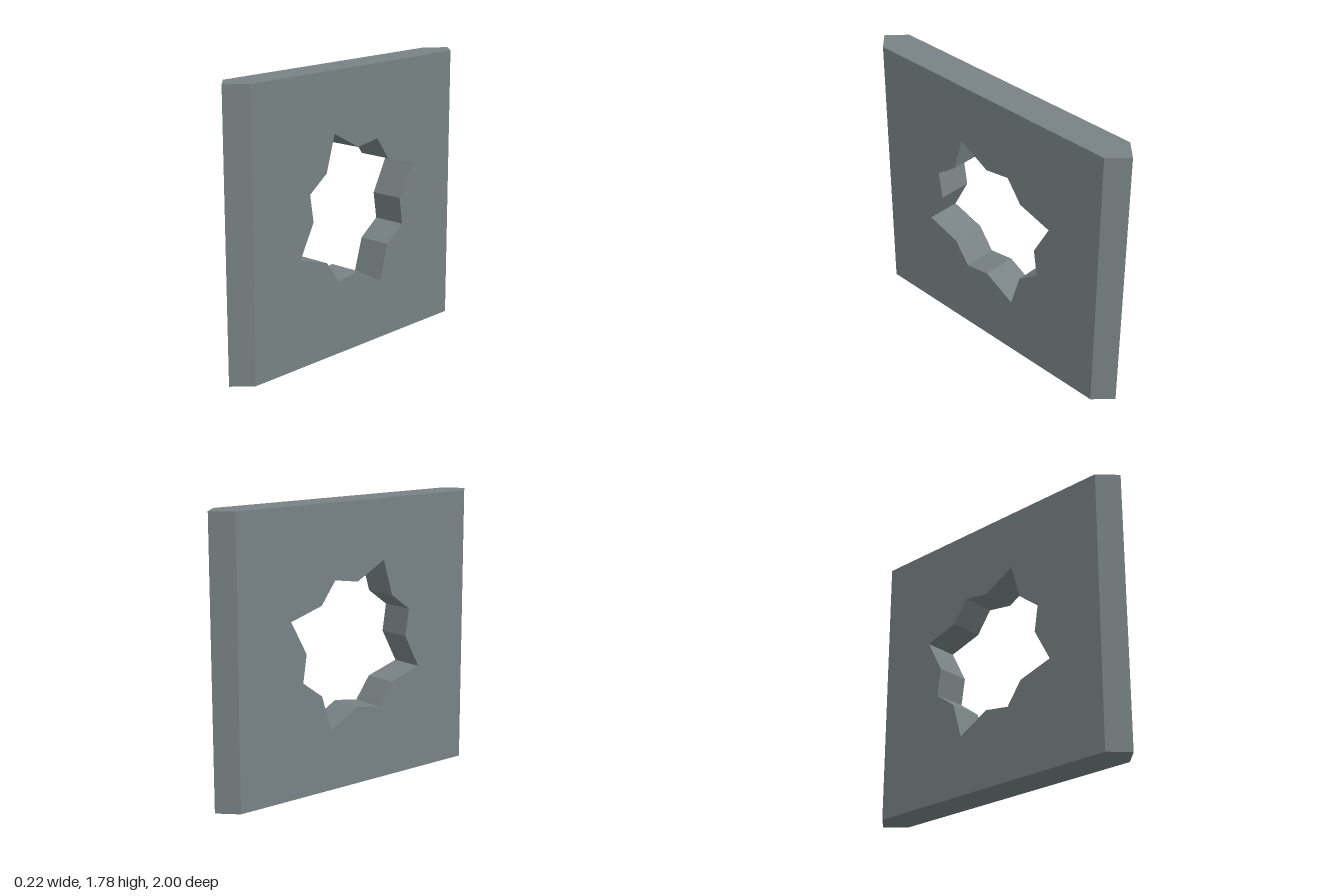
import * as THREE from 'three';

const HALF_THICK = 0.11, HALF_FLAT = 0.89, HALF_LENGTH = 1, HEIGHT = 1.78;

// Eight-pointed star with alternating long and short points
function starPath(cx, cy) {
  const points = [];
  for (let i = 0; i < 16; i++) {
    const a = (i * Math.PI) / 8;
    const r = i % 2 === 0 ? 0.395 : i % 4 === 1 ? 0.55 : 0.457;
    points.push(new THREE.Vector2(cx + r * Math.cos(a), cy + r * Math.sin(a)));
  }
  return new THREE.Path(points.reverse());
}

export function createModel() {
  const slate = new THREE.MeshStandardMaterial({ color: 0x788284 });
  slate.name = 'slate grey';

  // Upright panel outline with the star opening
  const outline = new THREE.Shape([
    new THREE.Vector2(-HALF_FLAT, 0),
    new THREE.Vector2(HALF_FLAT, 0),
    new THREE.Vector2(HALF_FLAT, HEIGHT),
    new THREE.Vector2(-HALF_FLAT, HEIGHT),
  ]);
  outline.holes.push(starPath(0, HEIGHT / 2));

  const geometry = new THREE.ExtrudeGeometry(outline, {
    depth: HALF_THICK * 2, steps: 2, bevelEnabled: false,
  });
  geometry.translate(0, 0, -HALF_THICK);

  // Pull the middle ring outward so both upright ends become pointed
  const pos = geometry.attributes.position;
  for (let i = 0; i < pos.count; i++) {
    const x = pos.getX(i);
    if (Math.abs(pos.getZ(i)) < 0.001 && Math.abs(x) > HALF_FLAT - 0.01) {
      pos.setX(i, Math.sign(x) * HALF_LENGTH);
    }
  }
  geometry.rotateY(Math.PI / 2);
  geometry.computeVertexNormals();

  const panel = new THREE.Mesh(geometry, slate);
  panel.name = 'starWindowPanel';

  const group = new THREE.Group();
  group.name = 'wallPanel';
  group.add(panel);
  return group;
}
